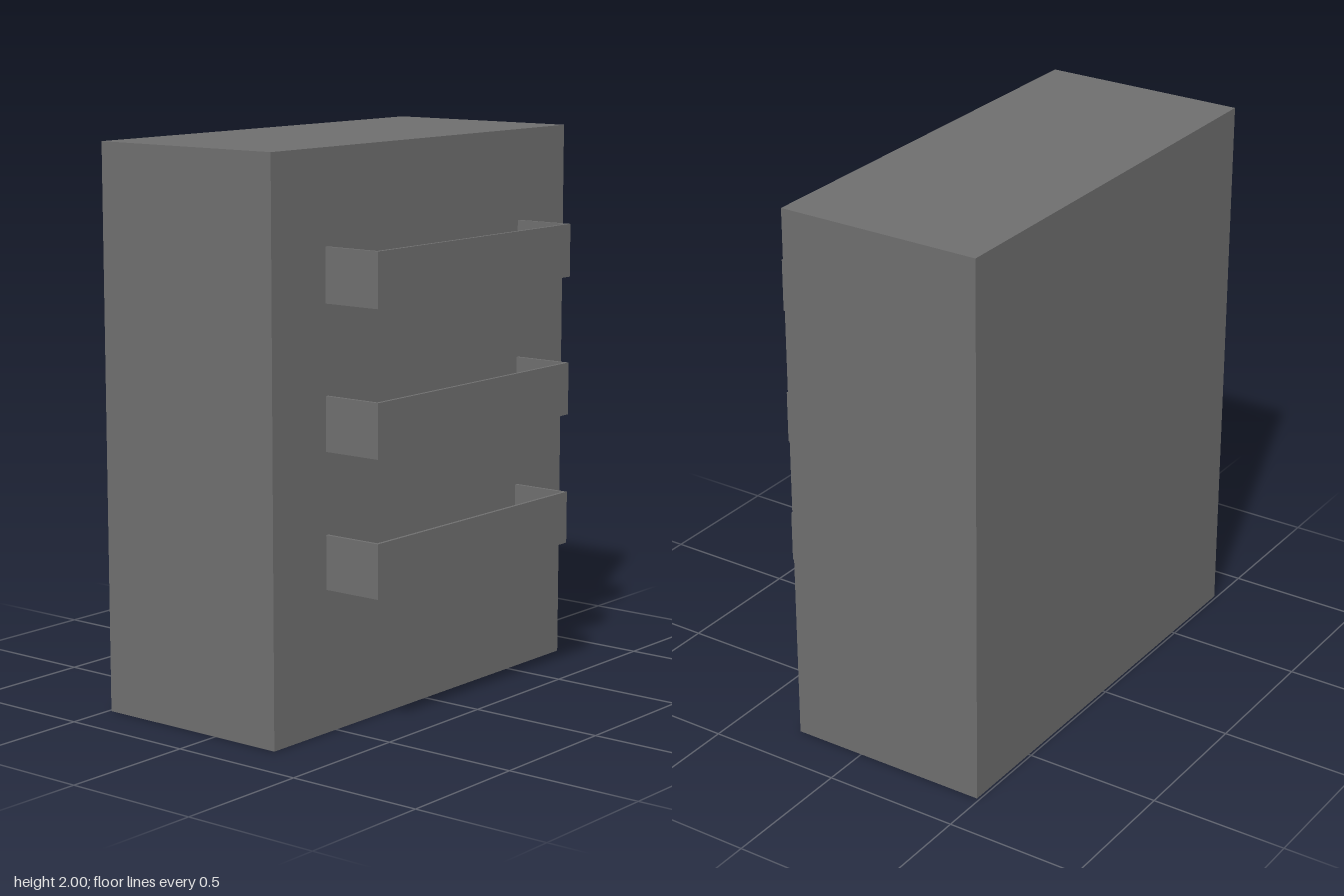
import * as THREE from 'three';

const FRONT_Z = 0.267; // front face of the cabinet
const DEPTH_Z = 0.49; // overall half depth

// Tray-like handle: front, two sides and a floor, open at the top
function createHandle(material) {
  const halfWidth = 0.551, thickness = 0.012, height = 0.19;
  const reach = DEPTH_Z - FRONT_Z;
  const handle = new THREE.Group();
  const addPanel = (name, size, position) => {
    const panel = new THREE.Mesh(new THREE.BoxGeometry(...size), material);
    panel.name = name;
    panel.position.set(...position);
    handle.add(panel);
  };
  addPanel('handleFront', [2 * halfWidth, height, thickness], [0, 0, reach - thickness / 2]);
  const inside = reach - thickness; // depth behind the front panel
  for (const [name, side] of [['handleLeftSide', 1], ['handleRightSide', -1]]) {
    addPanel(name, [thickness, height, inside], [side * (halfWidth - thickness / 2), 0, inside / 2]);
  }
  addPanel('handleFloor', [2 * (halfWidth - thickness), thickness, inside],
    [0, (thickness - height) / 2, inside / 2]);
  return handle;
}

export function createModel() {
  const model = new THREE.Group();
  model.name = 'chestOfDrawers';
  const material = new THREE.MeshStandardMaterial({ color: 0x6f6f6f });

  // Plain cabinet block
  const body = new THREE.Mesh(new THREE.BoxGeometry(1.65, 2, FRONT_Z + DEPTH_Z), material);
  body.name = 'cabinetBody';
  body.position.set(0, 1, (FRONT_Z - DEPTH_Z) / 2);
  model.add(body);

  // Three drawer handles, bottom to top
  ['lowerHandle', 'middleHandle', 'upperHandle'].forEach((name, i) => {
    const handle = createHandle(material);
    handle.name = name;
    handle.position.set(0, [0.598, 1.074, 1.576][i], FRONT_Z);
    model.add(handle);
  });

  return model;
}
